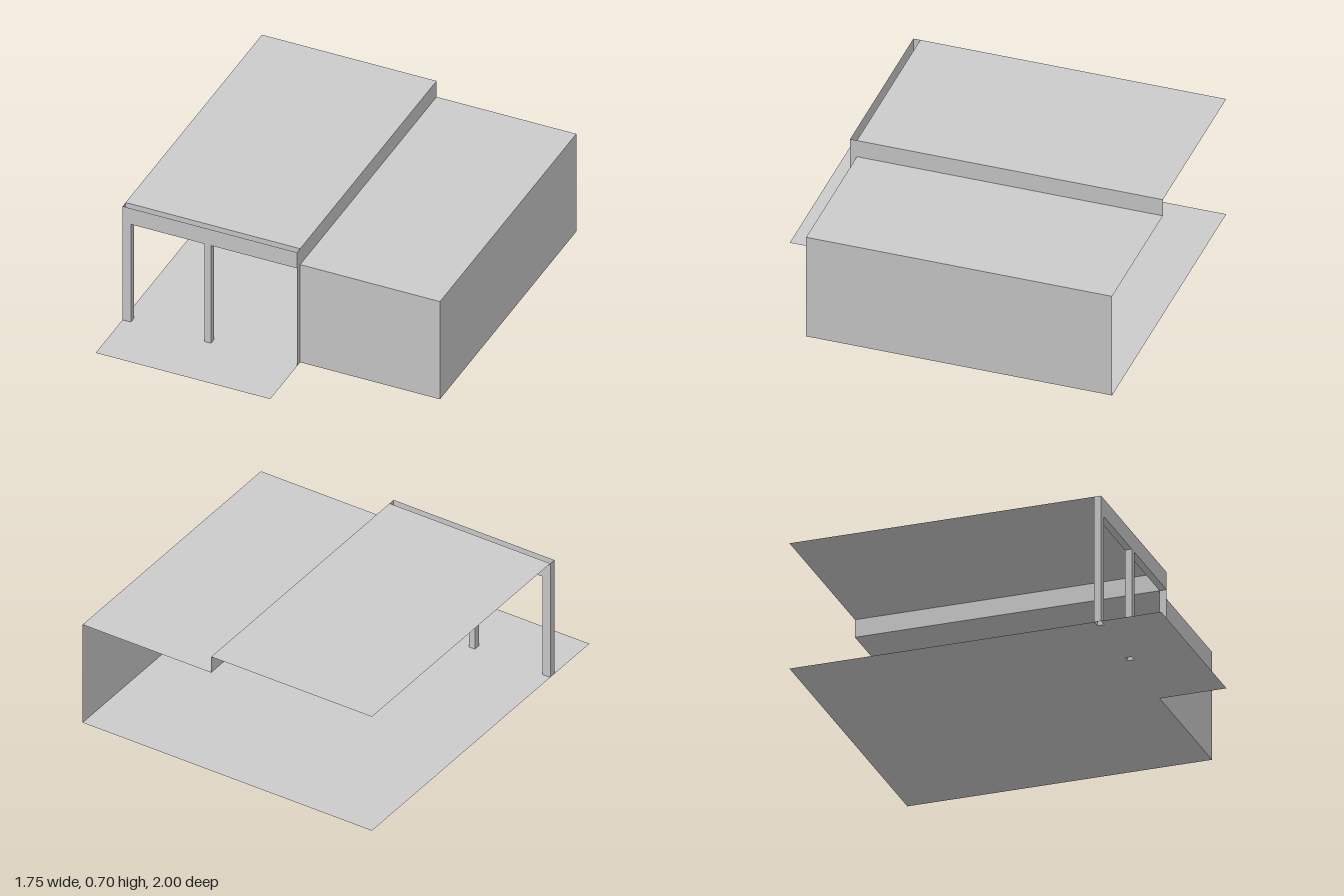
import * as THREE from 'three';

// Key lines of the plan and elevation
const X0 = -0.877, X1 = 0.877;        // outer sides
const XS = 0.097;                     // step between high and low roof
const ZB = -1, ZW = 0.64, ZP = 0.677, ZF = 1; // back, wall, post front, apron front
const LOW = 0.602, HIGH = 0.7;
const POSTS = [[X0, -0.83], [-0.42, -0.383]];

const material = new THREE.MeshStandardMaterial({ color: 0xcccccc, side: THREE.DoubleSide, flatShading: true });

function add(parent, name, geometry) {
  const mesh = new THREE.Mesh(geometry, material);
  mesh.name = name;
  parent.add(mesh);
}

// Thin panels, each spanning two axes at a fixed third coordinate
function panelX(parent, name, x, y0, y1, z0, z1, sign = 1) {
  const g = new THREE.PlaneGeometry(z1 - z0, y1 - y0).rotateY(sign * Math.PI / 2);
  add(parent, name, g.translate(x, (y0 + y1) / 2, (z0 + z1) / 2));
}
function panelY(parent, name, y, x0, x1, z0, z1, sign = 1) {
  const g = new THREE.PlaneGeometry(x1 - x0, z1 - z0).rotateX(-sign * Math.PI / 2);
  add(parent, name, g.translate((x0 + x1) / 2, y, (z0 + z1) / 2));
}
function panelZ(parent, name, z, x0, x1, y0, y1, sign = 1) {
  const g = new THREE.PlaneGeometry(x1 - x0, y1 - y0);
  if (sign < 0) g.rotateY(Math.PI);
  add(parent, name, g.translate((x0 + x1) / 2, (y0 + y1) / 2, z));
}

export function createModel() {
  const model = new THREE.Group();
  model.name = 'carport';

  // Floor slab with front apron, notched and pierced where the hollow posts stand
  const [outer, inner] = POSTS;
  const outline = [
    [X0, ZB], [X1, ZB], [X1, ZW], [XS, ZW], [XS, ZF], [X0, ZF],
    [X0, ZP], [outer[1], ZP], [outer[1], ZW], [X0, ZW],
  ].map(([x, z]) => new THREE.Vector2(x, -z));
  const floor = new THREE.Shape(outline);
  floor.holes.push(new THREE.Path([
    [inner[0], ZW], [inner[1], ZW], [inner[1], ZP], [inner[0], ZP],
  ].map(([x, z]) => new THREE.Vector2(x, -z))));
  add(model, 'floor', new THREE.ShapeGeometry(floor).rotateX(-Math.PI / 2));

  // Low bay: roof, side wall and front wall, open at the back
  const bay = new THREE.Group();
  bay.name = 'lowBay';
  panelY(bay, 'lowRoof', LOW, XS, X1, ZB, ZW);
  panelX(bay, 'sideWall', X1, 0, LOW, ZB, ZW);
  panelZ(bay, 'frontWall', ZW, XS, X1, 0, LOW);
  model.add(bay);

  // High roof and the step down to the low roof
  panelY(model, 'highRoof', HIGH, X0, XS, ZB, ZW);
  panelX(model, 'roofStep', XS, LOW, HIGH, ZB, ZW);

  // Front beam: hollow, open on top, with its underside broken at the posts
  const beam = new THREE.Group();
  beam.name = 'frontBeam';
  panelZ(beam, 'beamFront', ZP, X0, XS, LOW, HIGH);
  panelZ(beam, 'beamBack', ZW, X0, XS, LOW, HIGH, -1);
  panelX(beam, 'beamEnd', X0, LOW, HIGH, ZW, ZP, -1);
  panelY(beam, 'beamUnderside', LOW, outer[1], inner[0], ZW, ZP, -1);
  panelY(beam, 'beamUnderside', LOW, inner[1], XS, ZW, ZP, -1);
  model.add(beam);

  // Narrow wall return joining the beam to the front wall
  panelX(model, 'wallReturn', XS, 0, HIGH, ZW, ZP);

  // Hollow square posts
  for (const [a, b] of POSTS) {
    const post = new THREE.Group();
    post.name = 'post';
    panelZ(post, 'postFront', ZP, a, b, 0, LOW);
    panelZ(post, 'postBack', ZW, a, b, 0, LOW, -1);
    panelX(post, 'postRight', a, 0, LOW, ZW, ZP, -1);
    panelX(post, 'postLeft', b, 0, LOW, ZW, ZP);
    model.add(post);
  }
  return model;
}
